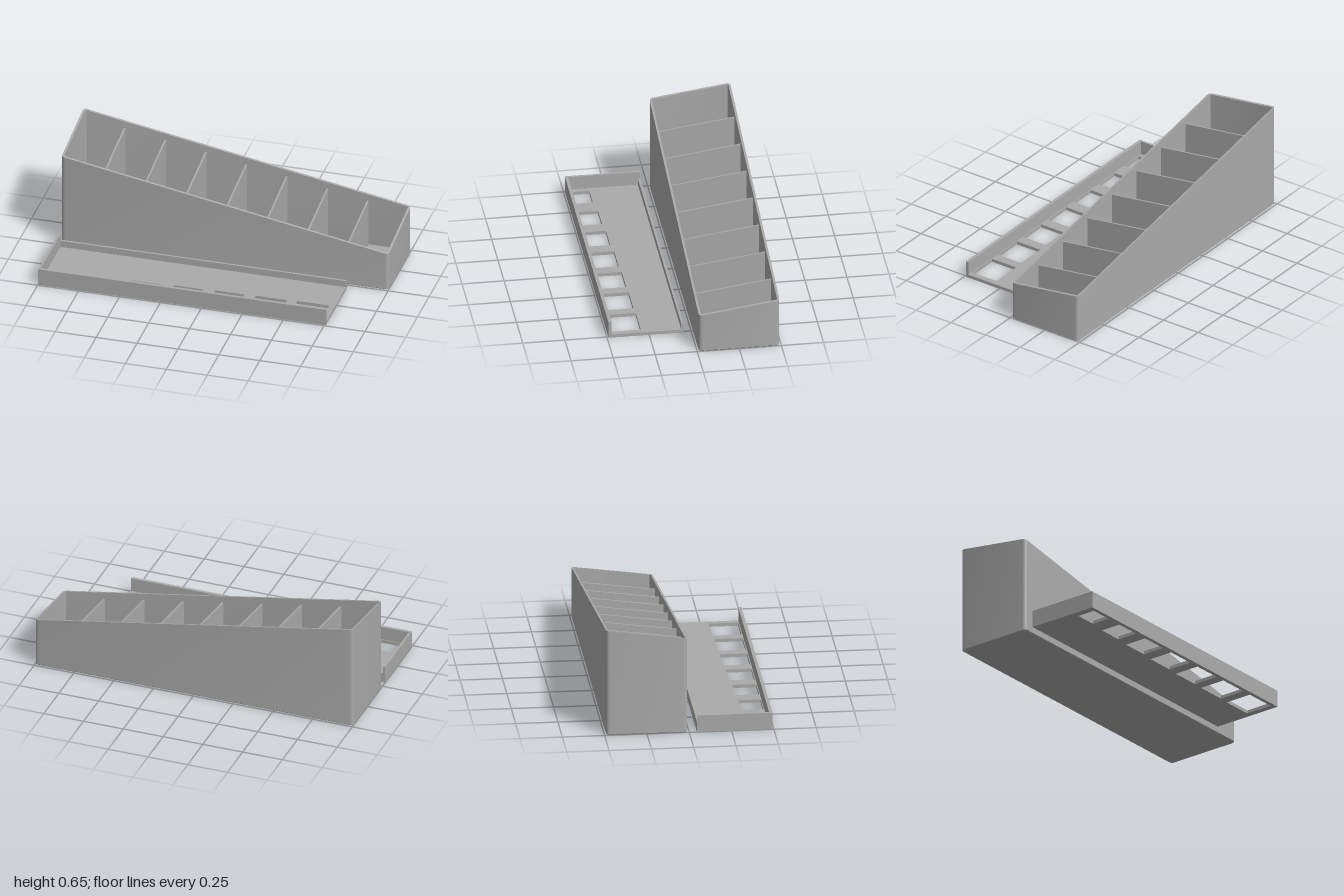
import * as THREE from 'three';
import { toCreasedNormals } from 'three/addons/utils/BufferGeometryUtils.js';

const BIN_Z = -0.25, HALF_X = 1, HALF_Z = 0.24, WALL = 0.013;

// Height of the sloping rim plane, falling to the left and to the front
const rim = (x, z) => 0.4475 - 0.1755 * x - 0.138 * (z - BIN_Z);

// Rounded rectangle ring; height is a number or a function of (x, z)
function ring(inset, radius, height) {
  const points = [], steps = 6;
  const hx = HALF_X - inset - radius, hz = HALF_Z - inset - radius;
  [[1, 1], [-1, 1], [-1, -1], [1, -1]].forEach(([sx, sz], corner) => {
    for (let i = 0; i <= steps; i++) {
      const a = (corner + i / steps) * Math.PI / 2;
      const x = sx * hx + radius * Math.cos(a);
      const z = BIN_Z + sz * hz + radius * Math.sin(a);
      points.push(new THREE.Vector3(x, typeof height === 'number' ? height : height(x, z), z));
    }
  });
  return points;
}

// Skin a list of rings that all have the same number of points
function loft(rings) {
  const triangles = [];
  for (let r = 0; r < rings.length - 1; r++) {
    const a = rings[r], b = rings[r + 1], n = a.length;
    for (let i = 0; i < n; i++) {
      const j = (i + 1) % n;
      if (!a[i].equals(a[j])) triangles.push(a[i], b[i], a[j]);
      if (!b[i].equals(b[j])) triangles.push(a[j], b[i], b[j]);
    }
  }
  const geometry = new THREE.BufferGeometry().setFromPoints(triangles);
  return toCreasedNormals(geometry, 0.5);
}

export function createModel() {
  const model = new THREE.Group();
  const grey = new THREE.MeshStandardMaterial({ color: 0xaaaaaa });
  grey.name = 'plain grey';

  function add(parent, name, geometry) {
    const mesh = new THREE.Mesh(geometry, grey);
    mesh.name = name;
    parent.add(mesh);
    return mesh;
  }
  function block(parent, name, x0, x1, y0, y1, z0, z1) {
    const geometry = new THREE.BoxGeometry(x1 - x0, y1 - y0, z1 - z0);
    geometry.translate((x0 + x1) / 2, (y0 + y1) / 2, (z0 + z1) / 2);
    return add(parent, name, geometry);
  }

  // Sloping bin: underside, chamfer, outer wall, rim, inner wall, floor
  const bin = new THREE.Group();
  bin.name = 'sortingBin';
  model.add(bin);
  const outer = ring(0, 0.022, 0);
  const centre = y => outer.map(() => new THREE.Vector3(0, y, BIN_Z));
  add(bin, 'binShell', loft([
    centre(0),
    ring(0.005, 0.017, 0),
    ring(0, 0.022, 0.005),
    ring(0, 0.022, rim),
    ring(WALL, 0.009, rim),
    ring(WALL, 0.009, WALL),
    centre(WALL),
  ]));

  // Seven dividers, their tops sunk below the rim and tilted with it
  for (let i = 0; i < 7; i++) {
    const x = -0.745 + i * 0.2475;
    const geometry = new THREE.BoxGeometry(0.011, 1, 2 * (HALF_Z - WALL) + 0.004);
    geometry.translate(x, 0, BIN_Z);
    const p = geometry.attributes.position;
    for (let v = 0; v < p.count; v++) {
      p.setY(v, p.getY(v) > 0 ? rim(x, p.getZ(v)) - 0.042 : WALL / 2);
    }
    geometry.computeVertexNormals();
    add(bin, 'divider' + (i + 1), geometry);
  }

  // Shallow tray with one open end
  const tray = new THREE.Group();
  tray.name = 'tray';
  model.add(tray);
  const x0 = -1, x1 = 0.76, back = 0.046, front = 0.492, lip = 0.473;

  // Tray floor, with windows growing along its length: [start, end, back edge]
  const rectangle = (Type, a, b, zBack, zFront) => new Type([
    new THREE.Vector2(a, -zFront), new THREE.Vector2(b, -zFront),
    new THREE.Vector2(b, -zBack), new THREE.Vector2(a, -zBack),
  ]);
  const windows = [
    [-0.955, -0.815, 0.353], [-0.712, -0.553, 0.337], [-0.468, -0.297, 0.326],
    [-0.22, -0.04, 0.314], [0.03, 0.212, 0.306], [0.276, 0.468, 0.301], [0.527, 0.725, 0.295],
  ];
  const floor = rectangle(THREE.Shape, x0, x1, back, front);
  windows.forEach(([a, b, z]) => floor.holes.push(rectangle(THREE.Path, a, b, z, 0.468)));
  const floorGeometry = new THREE.ExtrudeGeometry(floor, { depth: 0.02, bevelEnabled: false });
  floorGeometry.rotateX(-Math.PI / 2);
  add(tray, 'trayFloor', floorGeometry);

  // Tray walls: tall front and end, low back
  block(tray, 'trayFrontWall', x0, x1, 0.02, 0.104, lip, front);
  block(tray, 'trayBackWall', x0 + 0.014, x1, 0.02, 0.061, back, 0.06);
  block(tray, 'trayEndWall', x0, x0 + 0.014, 0.02, 0.104, back, lip);

  return model;
}
